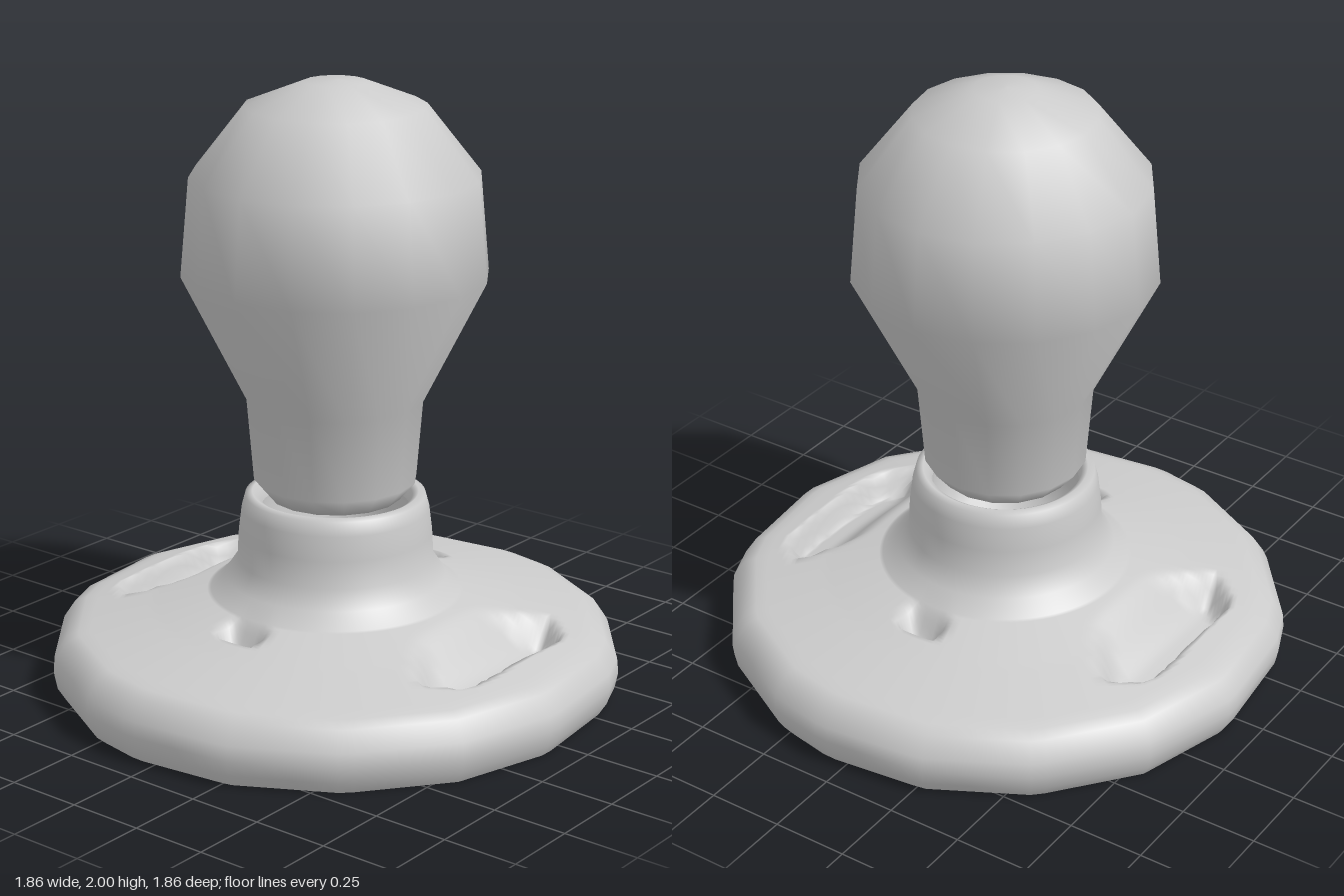
import * as THREE from 'three';
import { mergeVertices } from 'three/addons/utils/BufferGeometryUtils.js';

const v2 = (list) => list.map(([r, y]) => new THREE.Vector2(r, y));
const smooth = THREE.MathUtils.smoothstep;
const clamp01 = (t) => THREE.MathUtils.clamp(t, 0, 1);

// Corner angles of the rim polygon, repeated after half a turn
const corners = [4.5, 17.5, 40, 63, 72, 95, 117, 140, 162.5, 184.5];
function rimFactor(x, z) {
  let a = THREE.MathUtils.radToDeg(Math.atan2(z, x));
  a = ((a - 4.5) % 180 + 180) % 180 + 4.5;
  let i = 0;
  while (i < corners.length - 2 && a > corners[i + 1]) i++;
  const half = (corners[i + 1] - corners[i]) / 2;
  const rad = THREE.MathUtils.degToRad;
  return Math.cos(rad(half)) / Math.cos(rad(a - corners[i] - half));
}

// Depth of the finger recesses (front and back) and side notches
function recess(x, z) {
  const ax = Math.abs(x), az = Math.abs(z);
  const halfWidth = az < 0.62 ? 0.2 + (az - 0.46) * 0.95 : 0.35 - (az - 0.62) * 0.8;
  const finger = 0.1 * smooth(az, 0.44, 0.64) * clamp01((0.73 - az) / 0.03)
    * clamp01((halfWidth - ax) / 0.07);
  const notch = 0.09 * smooth(ax, 0.4, 0.48) * clamp01((0.53 - ax) / 0.03)
    * clamp01((0.08 - az) / 0.04);
  return Math.max(finger, notch);
}

function baseGeometry() {
  // Rim, sloping deck in fine rings, then the collar and its inner lip
  const profile = [[0.9, 0], [0.925, 0.04], [0.935, 0.09], [0.93, 0.14], [0.89, 0.2], [0.85, 0.216]];
  const deck = [[0.82, 0.224], [0.6, 0.273], [0.41, 0.322]];
  for (let r = 0.82; r > 0.405; r -= 0.0125) {
    const [a, b] = r > 0.6 ? [deck[0], deck[1]] : [deck[1], deck[2]];
    profile.push([r, THREE.MathUtils.mapLinear(r, a[0], b[0], a[1], b[1])]);
  }
  profile.push([0.36, 0.37], [0.32, 0.43], [0.315, 0.52], [0.305, 0.6], [0.293, 0.645],
    [0.27, 0.652], [0.25, 0.64], [0.24, 0.6]);

  let geo = new THREE.LatheGeometry(v2(profile), 120);
  geo.deleteAttribute('uv');
  geo.deleteAttribute('normal');
  geo = mergeVertices(geo, 1e-5);
  const p = geo.attributes.position;
  for (let i = 0; i < p.count; i++) {
    p.setY(i, p.getY(i) - recess(p.getX(i), p.getZ(i)));
  }
  // Normals stay those of the round form while the outline becomes angular
  geo.computeVertexNormals();
  for (let i = 0; i < p.count; i++) {
    const x = p.getX(i), z = p.getZ(i);
    const s = THREE.MathUtils.lerp(1, rimFactor(x, z), smooth(Math.hypot(x, z), 0.72, 0.85));
    p.setX(i, x * s);
    p.setZ(i, z * s);
  }
  return geo;
}

export function createModel() {
  const group = new THREE.Group();
  const grey = new THREE.MeshStandardMaterial({ color: 0xcccccc, side: THREE.DoubleSide });
  const add = (name, geo) => {
    const mesh = new THREE.Mesh(geo, grey);
    mesh.name = name;
    group.add(mesh);
  };

  // Hollow base with collar, open underneath
  add('base', baseGeometry());

  // Rounded socket below the collar
  add('socket', new THREE.LatheGeometry(v2([
    [0, 0.3], [0.12, 0.32], [0.21, 0.4], [0.24, 0.5], [0.24, 0.6],
  ]), 32));

  // Bulb-shaped handle
  add('handle', new THREE.LatheGeometry(v2([
    [0, 0.63], [0.215, 0.64], [0.265, 0.7], [0.287, 0.97], [0.492, 1.38],
    [0.463, 1.7], [0.29, 1.92], [0.1, 1.995], [0, 2],
  ]), 16));

  return group;
}
